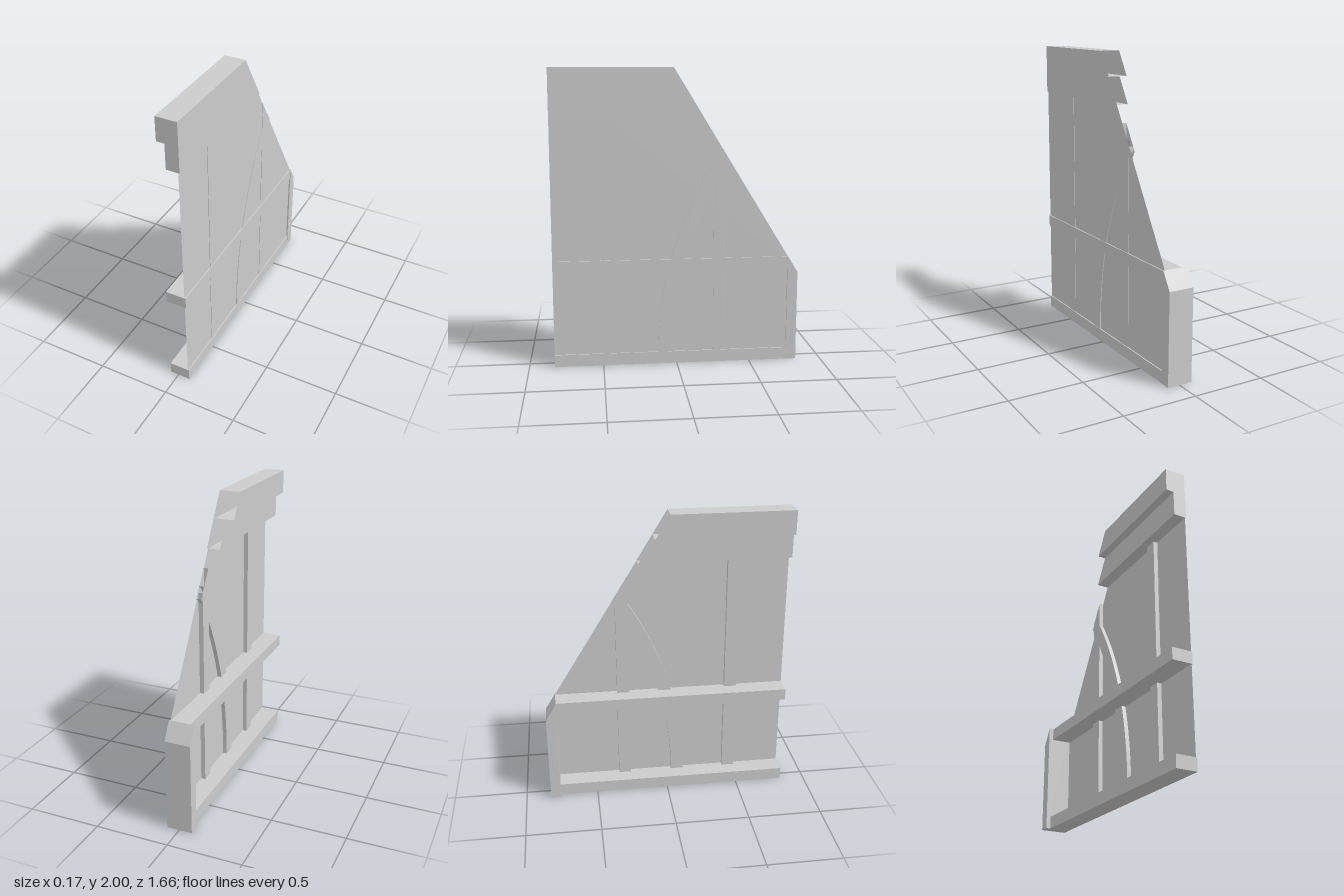
import * as THREE from 'three';

const FRONT = 0.83, BACK = -0.83, FACE = 0.085;
// z of the sloping cut at height y, and its inverse
const cutZ = (y) => 0.02 - (2 - y) * 0.616;
const cutY = (z) => 2 - (0.02 - z) / 0.616;
const CUT_NORMAL = new THREE.Vector3(0, 0.616, -1).normalize();

const material = new THREE.MeshStandardMaterial({
  color: 0xcccccc, flatShading: true, side: THREE.DoubleSide,
});

// Removes the faces lying on the sloping cut, leaving the hollow end open
function openCut(geometry) {
  const p = geometry.attributes.position, kept = [];
  const tri = new THREE.Triangle(), n = new THREE.Vector3();
  for (let i = 0; i < p.count; i += 3) {
    tri.setFromAttributeAndIndices(p, i, i + 1, i + 2);
    tri.getNormal(n);
    if (n.dot(CUT_NORMAL) < 0.999) {
      for (const v of [tri.a, tri.b, tri.c]) kept.push(v.x, v.y, v.z);
    }
  }
  const open = new THREE.BufferGeometry();
  open.setAttribute('position', new THREE.Float32BufferAttribute(kept, 3));
  open.computeVertexNormals();
  return open;
}

export function createModel() {
  const group = new THREE.Group();

  // Side profile given as [z, y] points, thickened from x0 to x1
  function slab(name, profile, x0, x1, open = true) {
    const shape = new THREE.Shape(profile.map(([z, y]) => new THREE.Vector2(z, y)));
    let g = new THREE.ExtrudeGeometry(shape, { depth: x1 - x0, bevelEnabled: false });
    g.rotateY(-Math.PI / 2).translate(x1, 0, 0);
    if (open) g = openCut(g);
    const mesh = new THREE.Mesh(g, material);
    mesh.name = name;
    group.add(mesh);
  }

  // Thin wall panel with the sloping edge
  const wall = new THREE.Shape([
    [FRONT, 0.02], [BACK + 0.03, 0.02], [BACK + 0.03, cutY(BACK + 0.03)],
    [cutZ(1.98), 1.98], [FRONT, 1.98],
  ].map(([z, y]) => new THREE.Vector2(z, y)));
  const panel = new THREE.Mesh(
    new THREE.ShapeGeometry(wall).rotateY(-Math.PI / 2).translate(0.075, 0, 0), material);
  panel.name = 'wallPanel';
  group.add(panel);

  // Horizontal beams cut along the slope
  const beam = (name, y0, y1, x0) => slab(name,
    [[FRONT, y0], [cutZ(y0), y0], [cutZ(y1), y1], [FRONT, y1]], x0, FACE - 0.002);
  beam('topBeam', 1.84, 2, -0.058);
  beam('upperBeam', 1.67, 1.84, -0.005);

  // Middle and bottom rails
  const rail = (name, y0, y1, z1) => slab(name,
    [[FRONT, y0], [z1, y0], [z1, y1], [FRONT, y1]], -0.058, FACE - 0.002, false);
  rail('middleRail', 0.65, 0.73, -0.76);
  rail('bottomRail', 0, 0.083, BACK + 0.002);

  // Rear post with sloping top
  slab('rearPost', [[-0.76, 0], [BACK, 0], [BACK, cutY(BACK)], [-0.76, cutY(-0.76)]],
    -0.088, FACE, false);

  // Upright studs
  slab('frontStud', [[0.5, 0.05], [0.415, 0.05], [0.415, 1.7], [0.5, 1.7]], 0.045, 0.078);
  slab('rearStud', [[-0.25, 0.05], [-0.335, 0.05], [-0.335, cutY(-0.335)], [-0.25, cutY(-0.25)]],
    0.045, 0.078);

  // Curved brace ending on the slope
  const centreZ = -2.245, centreY = 0.1, steps = 20;
  const arc = (r, top) => Array.from({ length: steps + 1 }, (_, i) => {
    const y = 0.06 + (top - 0.06) * i / steps;
    return [centreZ + Math.sqrt(r * r - (y - centreY) ** 2), y];
  });
  const outer = arc(2.37, 1.46), inner = arc(2.285, 1.39);
  outer[steps][0] = cutZ(1.46);
  inner[steps][0] = cutZ(1.39);
  slab('curvedBrace', [...inner, ...outer.reverse()], 0.047, 0.08);

  return group;
}
